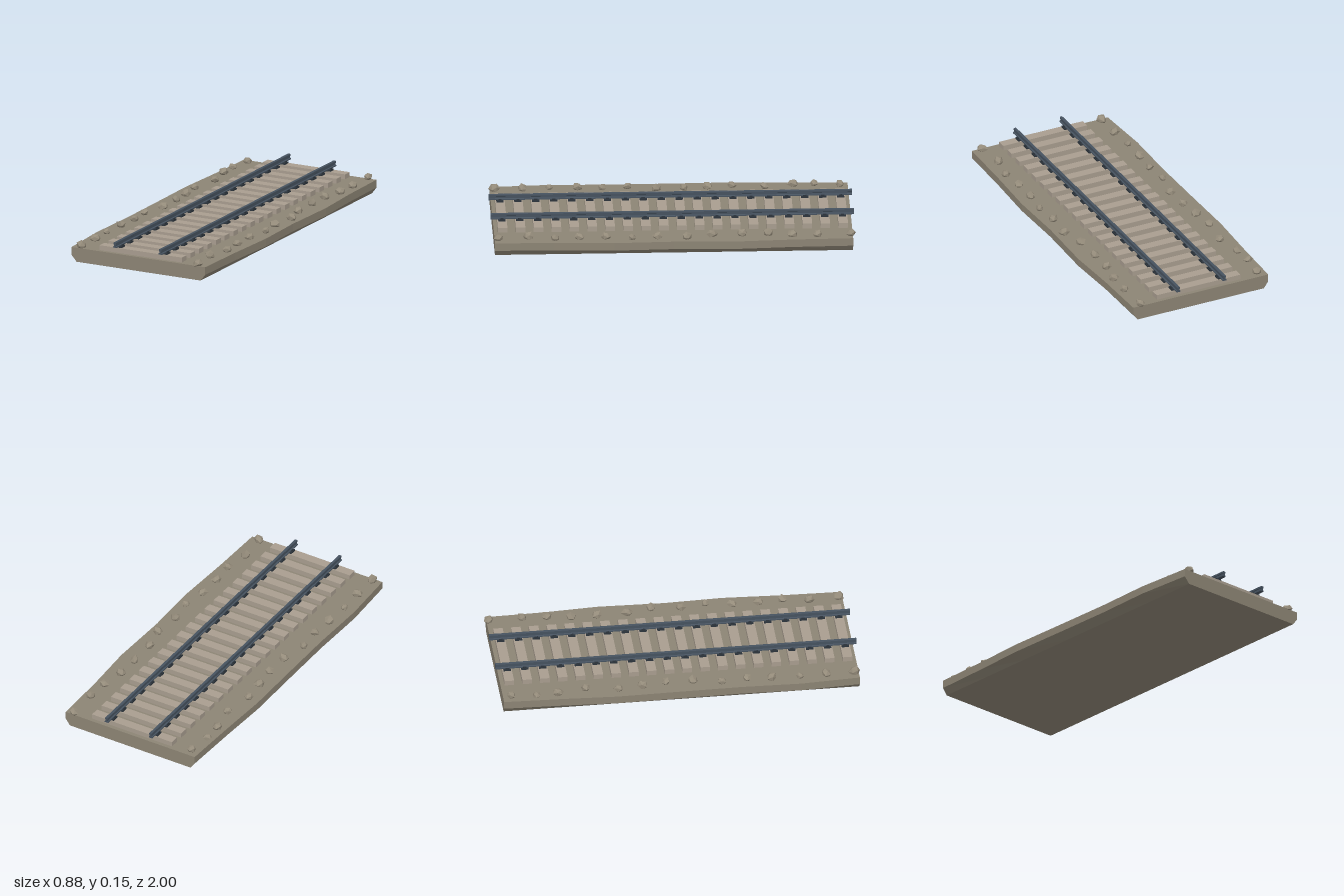
import * as THREE from 'three';

const mat = (color) => new THREE.MeshStandardMaterial({ color, flatShading: true });

function seeded(seed) {
  return () => {
    seed = (seed * 16807) % 2147483647;
    return seed / 2147483647;
  };
}

// Closed ballast slab lofted from six-cornered sections along z
function bedGeometry() {
  const zs = [-0.985, -0.66, -0.36, 0, 0.33, 0.66, 0.985];
  const right = [0.413, 0.42, 0.437, 0.427, 0.437, 0.422, 0.415];
  const left = [0.417, 0.427, 0.441, 0.436, 0.433, 0.441, 0.422];
  const pos = [], index = [];
  zs.forEach((z, i) => {
    const r = right[i], l = left[i];
    pos.push(-0.39, 0, z, 0.386, 0, z, r, 0.036, z, r, 0.08, z, -l, 0.08, z, -l, 0.036, z);
    if (i === 0) return;
    for (let k = 0; k < 6; k++) {
      const a = (i - 1) * 6 + k, b = (i - 1) * 6 + (k + 1) % 6;
      index.push(a, b, b + 6, a, b + 6, a + 6);
    }
  });
  const e = (zs.length - 1) * 6;
  for (let k = 1; k < 5; k++) {
    index.push(0, k + 1, k);
    index.push(e, e + k, e + k + 1);
  }
  const g = new THREE.BufferGeometry();
  g.setAttribute('position', new THREE.Float32BufferAttribute(pos, 3));
  g.setIndex(index);
  const flat = g.toNonIndexed();
  flat.computeVertexNormals();
  return flat;
}

// Rail profile: wide foot, thin web, stepped head
function railGeometry() {
  const half = [[0.011, 0.118], [0.011, 0.124], [0.005, 0.127], [0.005, 0.135],
    [0.008, 0.137], [0.008, 0.147], [0.006, 0.149]];
  const pts = [...half, ...half.slice().reverse().map(([x, y]) => [-x, y])];
  const shape = new THREE.Shape(pts.map(([x, y]) => new THREE.Vector2(x, y)));
  const g = new THREE.ExtrudeGeometry(shape, { depth: 2, bevelEnabled: false });
  return g.translate(0, 0, -1);
}

// Rough stone: icosahedron whose shared corners are pushed in or out
function stoneGeometry(rand) {
  const g = new THREE.IcosahedronGeometry(1, 0);
  const p = g.attributes.position, scale = new Map(), v = new THREE.Vector3();
  for (let i = 0; i < p.count; i++) {
    v.fromBufferAttribute(p, i);
    const key = v.toArray().map((c) => Math.round(c * 100)).join();
    if (!scale.has(key)) scale.set(key, 0.8 + rand() * 0.4);
    v.multiplyScalar(scale.get(key));
    p.setXYZ(i, v.x, v.y, v.z);
  }
  g.computeVertexNormals();
  return g;
}

export function createModel() {
  const model = new THREE.Group();
  const add = (parent, name, geometry, material, x = 0, y = 0, z = 0) => {
    const mesh = new THREE.Mesh(geometry, material);
    mesh.name = name;
    mesh.position.set(x, y, z);
    parent.add(mesh);
    return mesh;
  };
  const group = (name) => {
    const g = new THREE.Group();
    g.name = name;
    model.add(g);
    return g;
  };
  const bedMat = mat(0x8c8474), woodMat = mat(0xa89d8f), stoneMat = mat(0x958c7b);
  const railMat = mat(0x46525f), plateMat = mat(0x2c343c);

  add(model, 'ballastBed', bedGeometry(), bedMat);

  // Sleepers with a plate and two clips under each rail
  const sleepers = group('sleepers'), fasteners = group('railFasteners');
  const sleeperGeo = new THREE.BoxGeometry(0.514, 0.03, 0.053);
  const plateGeo = new THREE.BoxGeometry(0.038, 0.009, 0.04);
  const clipGeo = new THREE.BoxGeometry(0.009, 0.01, 0.018);
  for (let i = 0; i < 20; i++) {
    const z = -0.936 + i * 0.0986;
    add(sleepers, 'sleeper', sleeperGeo, woodMat, 0, 0.093, z);
    for (const x of [-0.142, 0.142]) {
      add(fasteners, 'tiePlate', plateGeo, plateMat, x, 0.1125, z);
      for (const s of [-1, 1]) add(fasteners, 'railClip', clipGeo, plateMat, x + s * 0.0125, 0.119, z);
    }
  }

  // Rails
  const railGeo = railGeometry();
  add(model, 'leftRail', railGeo, railMat, 0.142);
  add(model, 'rightRail', railGeo, railMat, -0.142);

  // Edge stones as [x, z, radius]
  const stones = [
    [-0.37, -0.94, 0.028], [-0.385, -0.8, 0.024], [-0.38, -0.68, 0.03], [-0.35, -0.525, 0.027],
    [-0.378, -0.345, 0.028], [-0.36, -0.21, 0.03], [-0.348, -0.08, 0.026], [-0.345, 0.07, 0.03],
    [-0.378, 0.225, 0.025], [-0.367, 0.367, 0.026], [-0.373, 0.503, 0.03], [-0.38, 0.66, 0.023],
    [-0.37, 0.805, 0.032], [-0.37, 0.96, 0.032],
    [0.367, -0.975, 0.026], [0.37, -0.79, 0.028], [0.367, -0.65, 0.03], [0.345, -0.52, 0.029],
    [0.345, -0.375, 0.029], [0.345, -0.21, 0.031], [0.38, -0.072, 0.029], [0.365, 0.09, 0.029],
    [0.38, 0.228, 0.024], [0.362, 0.373, 0.031], [0.362, 0.52, 0.029], [0.373, 0.655, 0.027],
    [0.345, 0.8, 0.031], [0.357, 0.965, 0.03],
  ];
  const rand = seeded(4217), stoneGroup = group('edgeStones');
  for (const [x, z, r] of stones) {
    const m = add(stoneGroup, 'stone', stoneGeometry(rand), stoneMat, x, 0.092, z);
    m.scale.set(r, r * 0.8, r * 0.9);
    m.rotation.y = rand() * Math.PI * 2;
  }
  return model;
}
